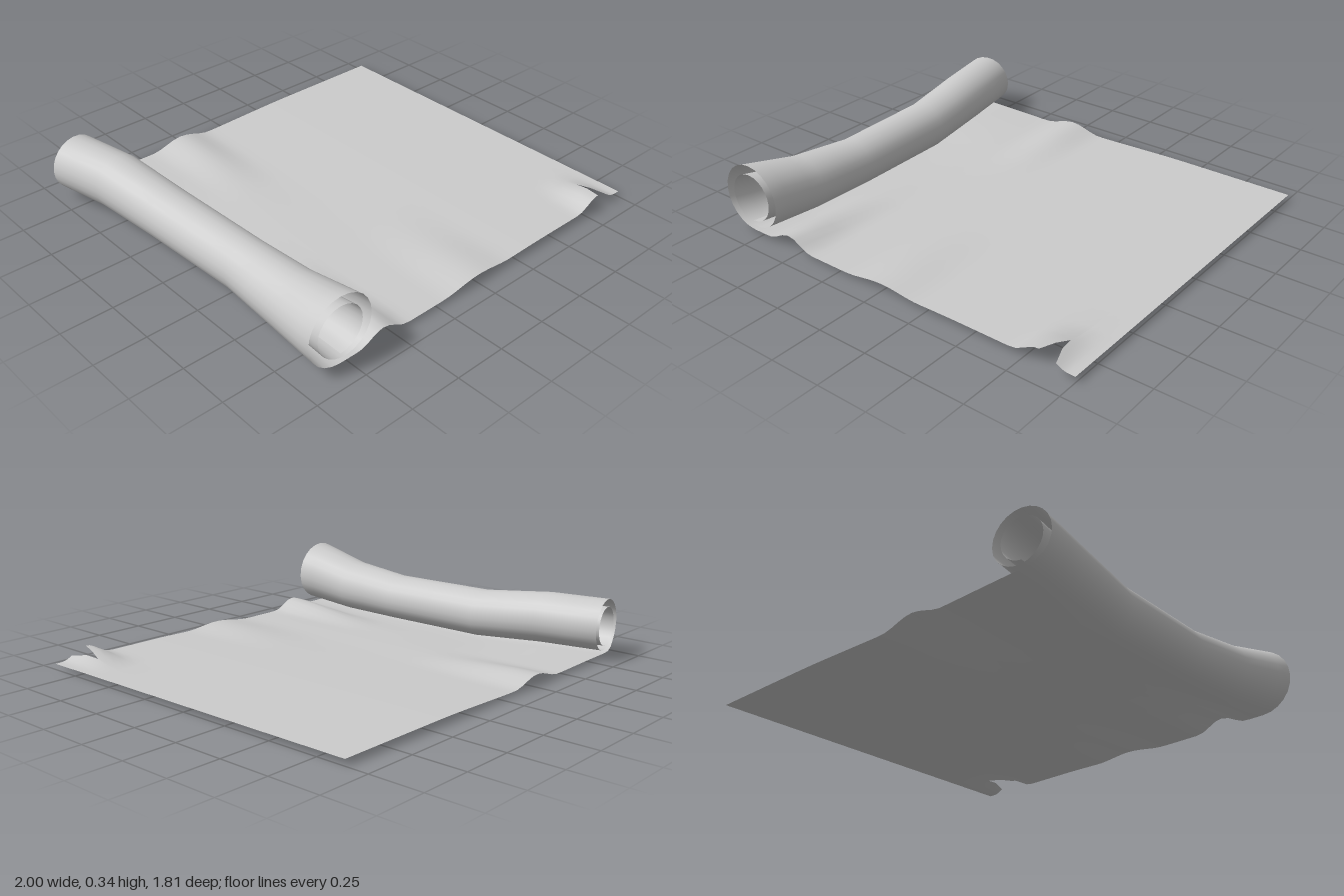
import * as THREE from 'three';

const { lerp, smoothstep } = THREE.MathUtils;
const TAU = Math.PI * 2;

// Roll outline along its length: [z, left edge x, radius, top y]
const ROLL = [
  [-0.89, -1.0, 0.132, 0.29],
  [-0.6, -0.945, 0.132, 0.29],
  [-0.25, -0.9, 0.125, 0.255],
  [0.28, -0.88, 0.122, 0.255],
  [0.6, -0.91, 0.138, 0.285],
  [0.9, -0.955, 0.163, 0.35],
];
const ROWS = [-0.89, -0.75, -0.6, -0.42, -0.25, 0, 0.28, 0.45, 0.6, 0.68, 0.75, 0.82, 0.9];
const TEAR_X = 0.87, TEAR_Z = 0.75;

function rollAt(z) {
  let i = 0;
  while (i < ROLL.length - 2 && z > ROLL[i + 1][0]) i++;
  const a = ROLL[i], b = ROLL[i + 1], t = (z - a[0]) / (b[0] - a[0]);
  const [, left, r, top] = a.map((v, k) => lerp(v, b[k], t));
  return { x: left + r, r, bottom: top - 2 * r };
}

// Rounded ripple of half width w around c
const hump = (x, c, w) => (Math.abs(x - c) < w ? 0.5 + 0.5 * Math.cos(Math.PI * (x - c) / w) : 0);

// Height of the flat sheet, with ripples that fade in from the front and back edges
function sheetY(x, z) {
  const roll = rollAt(z);
  const base = lerp(0.02, 0.033, smoothstep(x, -0.2, 0.45));
  const y = lerp(roll.bottom, base, smoothstep(x, roll.x, -0.3));
  const front = smoothstep(z, 0.2, 0.85), back = smoothstep(-z, 0.2, 0.85);
  return y
    + front * (0.05 * hump(x, -0.56, 0.14) + 0.022 * hump(x, 0, 0.22))
    + back * 0.038 * hump(x, -0.27, 0.18)
    + smoothstep(z, 0.6, 0.88) * 0.052 * hump(x, 0.83, 0.14);
}

// Point on the flat part; side pulls the edge away from the tear
function flatPoint(x, z, side) {
  const open = Math.max(0, (z - TEAR_Z) / (0.9 - TEAR_Z));
  const near = Math.max(0, 1 - Math.abs(x - TEAR_X) / 0.1);
  const px = x + side * 0.04 * near * (side > 0 ? open ** 1.5 : open);
  return [px, sheetY(px, z), z];
}

// Point on the spiral, turning under, up the left side and over the top
function rollPoint(turn, z) {
  const c = rollAt(z);
  const r = c.r * (1 - 0.28 * smoothstep(turn, 0.75, 1.2) - 0.02 * Math.max(0, turn - 1.2));
  const a = turn * TAU;
  const dx = -Math.sin(a) * r;
  const slant = -0.15 * dx * smoothstep(-z, 0.5, 0.89) * smoothstep(turn, 0, 0.15);
  return [c.x + dx, c.bottom + c.r - Math.cos(a) * r, z + slant];
}

// Smooth surface from columns of points, one per row
function surface(name, columns) {
  const n = ROWS.length, index = [];
  for (let i = 0; i < columns.length - 1; i++) {
    for (let j = 0; j < n - 1; j++) {
      const a = i * n + j, b = a + n;
      index.push(a, a + 1, b, b, a + 1, b + 1);
    }
  }
  const geometry = new THREE.BufferGeometry();
  geometry.setAttribute('position', new THREE.Float32BufferAttribute(columns.flat(2), 3));
  geometry.setIndex(index);
  geometry.computeVertexNormals();
  const mesh = new THREE.Mesh(geometry, new THREE.MeshStandardMaterial({ color: 0xcccccc, side: THREE.DoubleSide }));
  mesh.name = name;
  return mesh;
}

export function createModel() {
  const group = new THREE.Group();
  group.name = 'scroll';

  // Rolled end, from the inside of the spiral out, running on into the flat sheet
  const columns = [];
  const TURNS = 2, STEPS = 24;
  for (let i = TURNS * STEPS; i > 0; i--) columns.push(ROWS.map((z) => rollPoint(i / STEPS, z)));
  const FLAT = 44;
  for (let i = 0; i <= FLAT; i++) {
    columns.push(ROWS.map((z) => flatPoint(lerp(rollAt(z).x, TEAR_X, i / FLAT), z, -1)));
  }
  group.add(surface('rolledSheet', columns));

  // Strip to the right of the tear
  const strip = [];
  for (let i = 0; i <= 6; i++) strip.push(ROWS.map((z) => flatPoint(lerp(TEAR_X, 1, i / 6), z, 1)));
  group.add(surface('sheetEdge', strip));

  return group;
}
